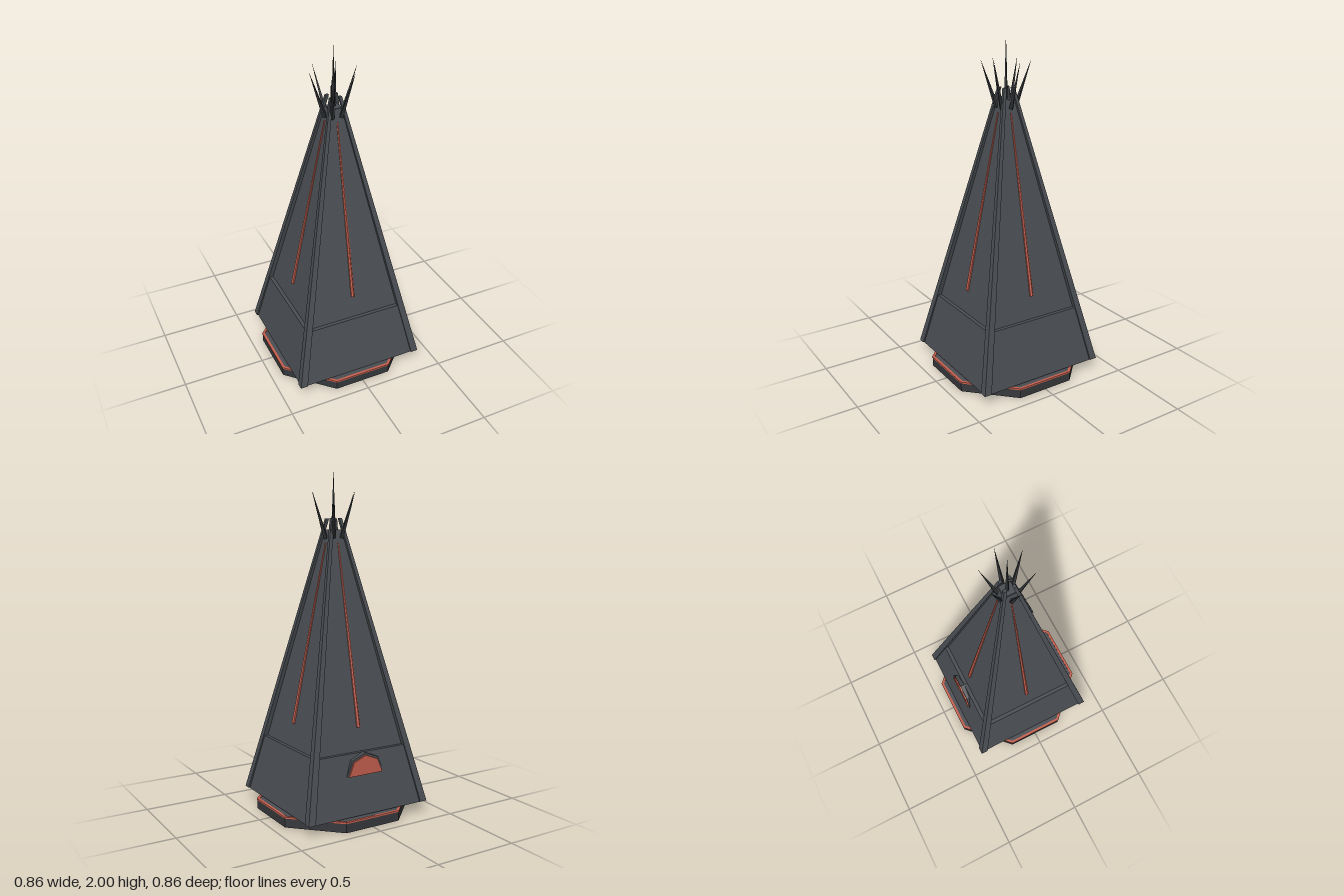
import * as THREE from 'three';

const mat = (name, color) => Object.assign(new THREE.MeshStandardMaterial({ color }), { name });

export function createModel() {
  const wallGrey = mat('wall grey', 0x4b4f54);
  const baseGrey = mat('base grey', 0x36393c);
  const spikeGrey = mat('spike grey', 0x303234);
  const red = mat('glow red', 0xc8604e);
  const model = new THREE.Group();

  // Faceted mesh with hard edges
  const add = (name, geometry, material, parent = model) => {
    const g = geometry.index ? geometry.toNonIndexed() : geometry;
    g.computeVertexNormals();
    const mesh = new THREE.Mesh(g, material);
    mesh.name = name;
    parent.add(mesh);
    return mesh;
  };

  // Prism or frustum with flats on the axes; a0 and a1 are half-widths
  const frustum = (sides, a0, a1, y0, y1) => {
    const k = 1 / Math.cos(Math.PI / sides);
    return new THREE.CylinderGeometry(a1 * k, a0 * k, y1 - y0, sides)
      .rotateY(Math.PI / sides).translate(0, (y0 + y1) / 2, 0);
  };

  // Tapered rod between two points
  const rod = (from, to, r0, r1, sides) => {
    const a = new THREE.Vector3(...from), b = new THREE.Vector3(...to);
    const dir = b.clone().sub(a);
    const g = new THREE.CylinderGeometry(r1, r0, dir.length(), sides);
    g.applyQuaternion(new THREE.Quaternion().setFromUnitVectors(new THREE.Vector3(0, 1, 0), dir.normalize()));
    const c = a.add(b).multiplyScalar(0.5);
    return g.translate(c.x, c.y, c.z);
  };

  // Octagonal plinth with a red rim
  add('plinth', frustum(8, 0.427, 0.427, 0, 0.053), baseGrey);
  add('plinthTop', frustum(8, 0.415, 0.415, 0.05, 0.059), wallGrey);
  const octagon = (a) => Array.from({ length: 8 }, (_, i) => {
    const t = (i + 0.5) * Math.PI / 4, r = a / Math.cos(Math.PI / 8);
    return new THREE.Vector2(Math.cos(t) * r, Math.sin(t) * r);
  });
  const rim = new THREE.Shape(octagon(0.43));
  rim.holes.push(new THREE.Path(octagon(0.414).reverse()));
  add('plinthRim', new THREE.ExtrudeGeometry(rim, { depth: 0.009, bevelEnabled: false })
    .rotateX(-Math.PI / 2).translate(0, 0.053, 0), red);

  // Two-stage tapering tower and its cap
  add('lowerWalls', frustum(4, 0.39, 0.318, 0.066, 0.408), wallGrey);
  add('upperWalls', frustum(4, 0.298, 0.037, 0.4, 1.65), wallGrey);
  add('cap', frustum(4, 0.035, 0.035, 1.6, 1.656), wallGrey);

  // Leaning corner beams, sheared towards the top
  for (const sx of [1, -1]) for (const sz of [1, -1]) {
    const g = frustum(4, 0.022, 0.009, 0.07, 1.72);
    const p = g.attributes.position;
    for (let i = 0; i < p.count; i++) {
      const c = THREE.MathUtils.mapLinear(p.getY(i), 0.07, 1.72, 0.378, 0.027);
      p.setX(i, p.getX(i) + sx * c);
      p.setZ(i, p.getZ(i) + sz * c);
    }
    add('cornerBeam', g, wallGrey);
  }

  // Slim red strip up the middle of each wall
  for (let i = 0; i < 4; i++) {
    add('wallStrip', rod([0, 0.54, 0.272], [0, 1.58, 0.054], 0.012, 0.004, 6), red)
      .rotation.y = i * Math.PI / 2;
  }

  // Crown of splayed spikes around a central spire
  const crown = new THREE.Group();
  crown.name = 'crown';
  model.add(crown);
  for (let i = 0; i < 6; i++) {
    add('crownSpike', rod([0.052, 1.605, 0], [0.14, 1.87, 0], 0.014, 0.0005, 4), spikeGrey, crown)
      .rotation.y = i * Math.PI / 3;
  }
  add('spire', rod([0, 1.6, 0], [0, 2, 0], 0.014, 0.0005, 4), spikeGrey, crown);

  // Arched doorway on the back wall
  const halfDisc = (r, depth, z) => {
    const pts = Array.from({ length: 5 }, (_, i) =>
      new THREE.Vector2(Math.cos(i * Math.PI / 4) * r, Math.sin(i * Math.PI / 4) * r));
    return new THREE.ExtrudeGeometry(new THREE.Shape(pts), { depth, bevelEnabled: false })
      .translate(0, 0.285, z);
  };
  add('doorFrame', halfDisc(0.125, 0.06, -0.345), wallGrey);
  add('doorPanel', halfDisc(0.112, 0.009, -0.354), red);

  return model;
}
